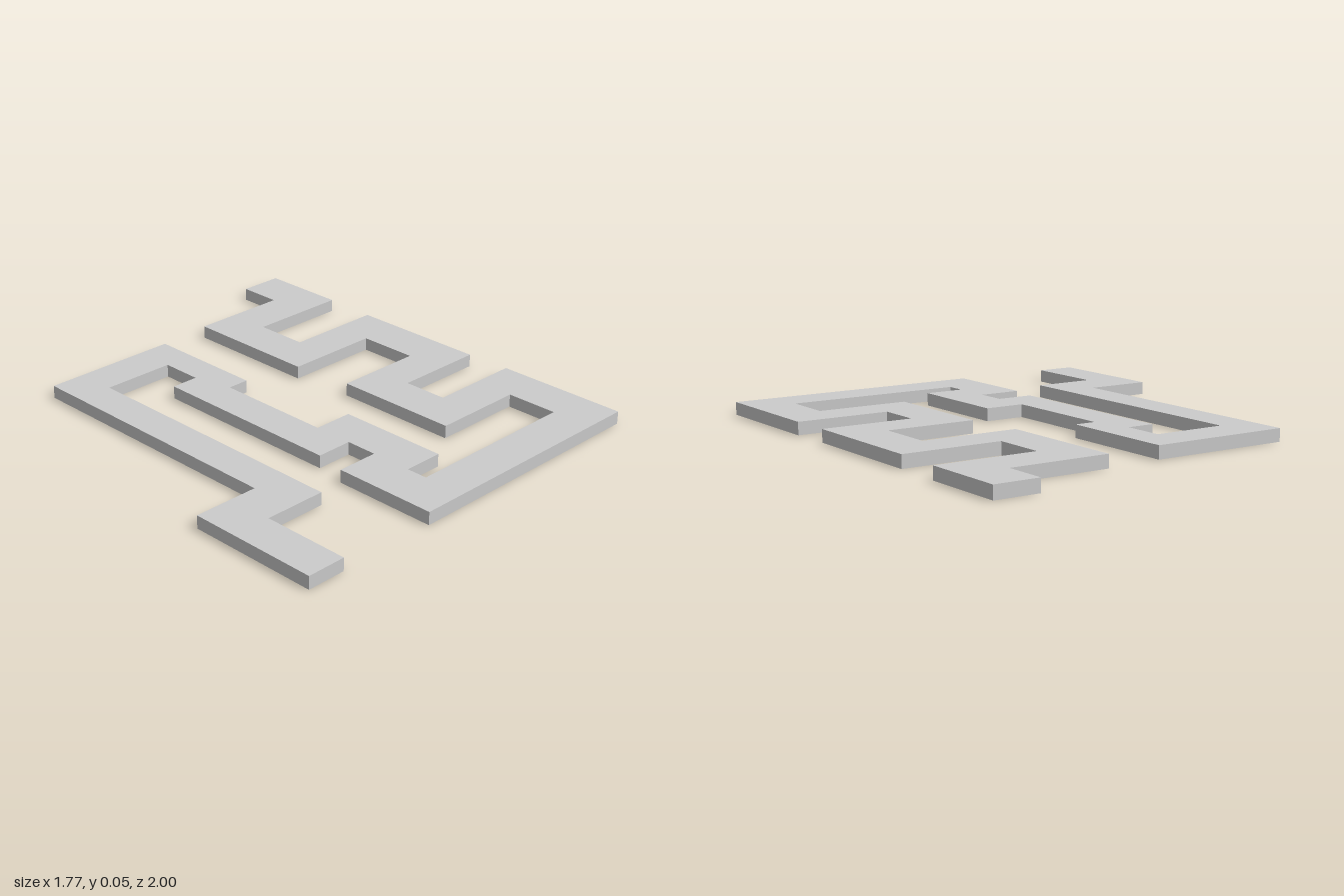
import * as THREE from 'three';

const THICKNESS = 0.055;

// Right-angled outline: each entry runs along x to the first value, then along z to the second.
const START = [-0.89, 1];
const STEPS = [
  // inner side, from the front left end to the back right end
  [-0.72, 0.625], [-0.45, -0.615], [-0.13, -0.435], [-0.25, 0.42],
  [-0.09, 0.555], [-0.275, 1], [0.88, 0.42], [0.47, 0.225],
  [0.875, -0.385], [0.44, -0.62], [0.885, -1],
  // returning side
  [0.69, -0.81], [0.255, -0.21], [0.68, 0.05], [0.285, 0.595],
  [0.69, 0.82], [-0.09, 0.73], [0.085, 0.25], [-0.09, -0.265],
  [0.005, -0.79], [-0.605, 0.43],
];

export function createModel() {
  const group = new THREE.Group();
  group.name = 'meanderingPath';

  const points = [new THREE.Vector2(START[0], -START[1])];
  let z = START[1];
  for (const [x, nextZ] of STEPS) {
    points.push(new THREE.Vector2(x, -z), new THREE.Vector2(x, -nextZ));
    z = nextZ;
  }
  points.push(new THREE.Vector2(START[0], -z));

  // flat slab laid on the ground
  const geometry = new THREE.ExtrudeGeometry(new THREE.Shape(points), {
    depth: THICKNESS,
    bevelEnabled: false,
  });
  geometry.rotateX(-Math.PI / 2);

  const path = new THREE.Mesh(
    geometry,
    new THREE.MeshStandardMaterial({ color: 0xcccccc, flatShading: true })
  );
  path.name = 'pathSlab';
  group.add(path);
  return group;
}
